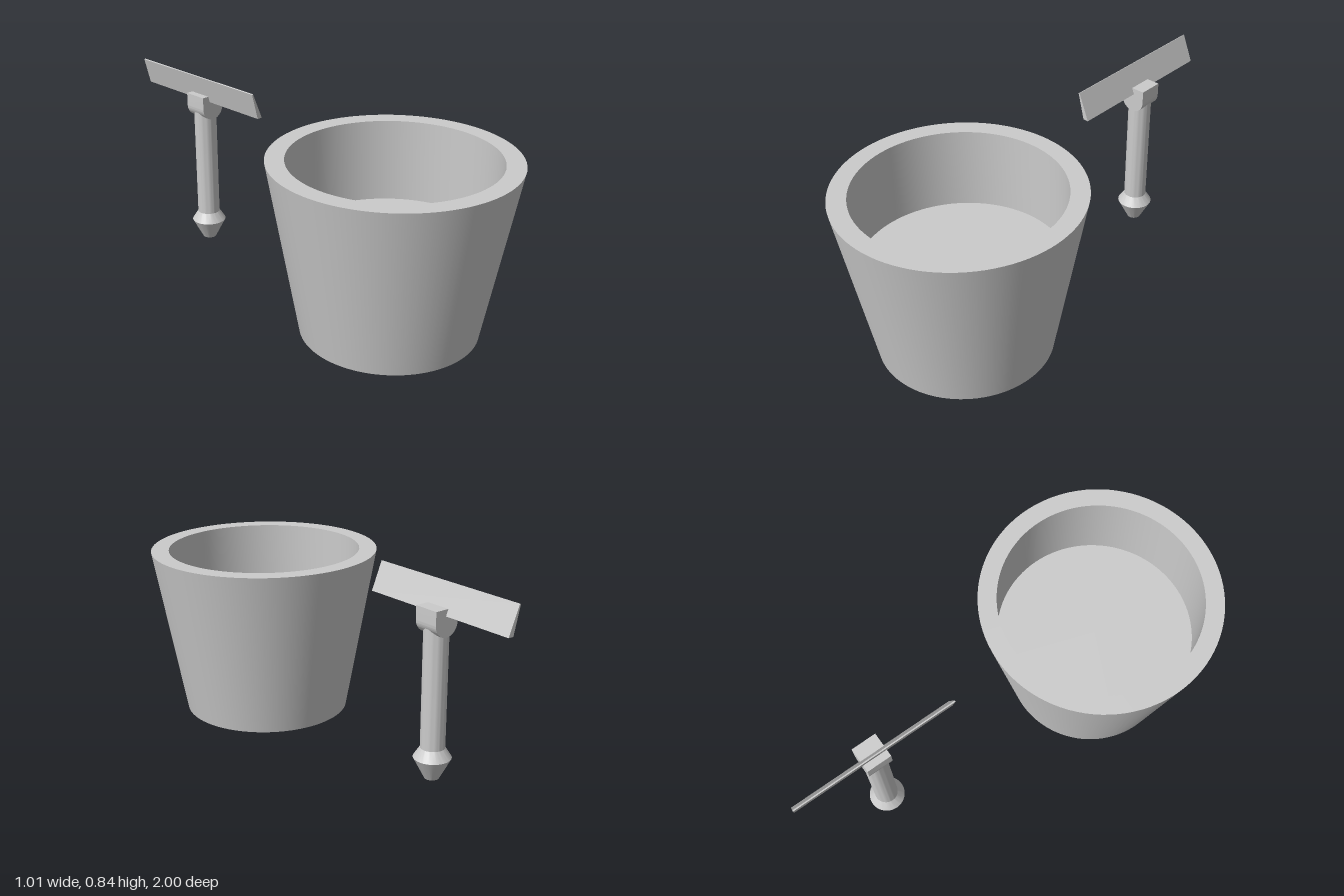
import * as THREE from 'three';
import { toCreasedNormals } from 'three/addons/utils/BufferGeometryUtils.js';

const material = new THREE.MeshStandardMaterial({ color: 0xcccccc });

function part(name, geometry, z = 0) {
  const mesh = new THREE.Mesh(toCreasedNormals(geometry, 0.5), material);
  mesh.name = name;
  mesh.position.z = z;
  return mesh;
}

// Solid of revolution from [radius, height] pairs, listed bottom to top
function turned(points, segments) {
  return new THREE.LatheGeometry(points.map(([r, y]) => new THREE.Vector2(r, y)), segments);
}

// Shape in the x-y plane, extruded along z and centred on it
function extruded(shape, length) {
  const geometry = new THREE.ExtrudeGeometry(shape, { depth: length, bevelEnabled: false, curveSegments: 24 });
  return geometry.translate(0, 0, -length / 2);
}

export function createModel() {
  const model = new THREE.Group();
  model.name = 'potAndStake';

  // Tapered pot with a straight bore and a raised inner floor
  model.add(part('pot', turned([
    [0, 0], [0.37, 0], [0.505, 0.745], [0.427, 0.745], [0.427, 0.387], [0, 0.387],
  ], 96), 0.495));

  // Stake beside the pot
  const stake = new THREE.Group();
  stake.name = 'stake';
  stake.position.z = -0.63;
  model.add(stake);

  // Blunt pointed foot and round shaft
  stake.add(part('stakeFoot', turned([
    [0, 0.035], [0.03, 0.035], [0.077, 0.125], [0.05, 0.167], [0, 0.167],
  ], 48)));
  stake.add(part('stakeShaft', turned([
    [0, 0.16], [0.05, 0.16], [0.05, 0.69], [0, 0.69],
  ], 48)));

  // Holder: flat on top, rounded underneath
  const holder = new THREE.Shape();
  holder.moveTo(0.056, 0.747);
  holder.lineTo(-0.056, 0.747);
  holder.lineTo(-0.056, 0.691);
  holder.absarc(0, 0.691, 0.056, Math.PI, Math.PI * 2, false);
  holder.closePath();
  stake.add(part('plateHolder', extruded(holder, 0.11)));

  // Leaning label plate, thinner toward its top edge
  const plate = new THREE.Shape([
    [0.006, 0.72], [-0.043, 0.838], [-0.048, 0.836], [-0.018, 0.72],
  ].map(([x, y]) => new THREE.Vector2(x, y)));
  stake.add(part('labelPlate', extruded(plate, 0.74)));

  return model;
}
